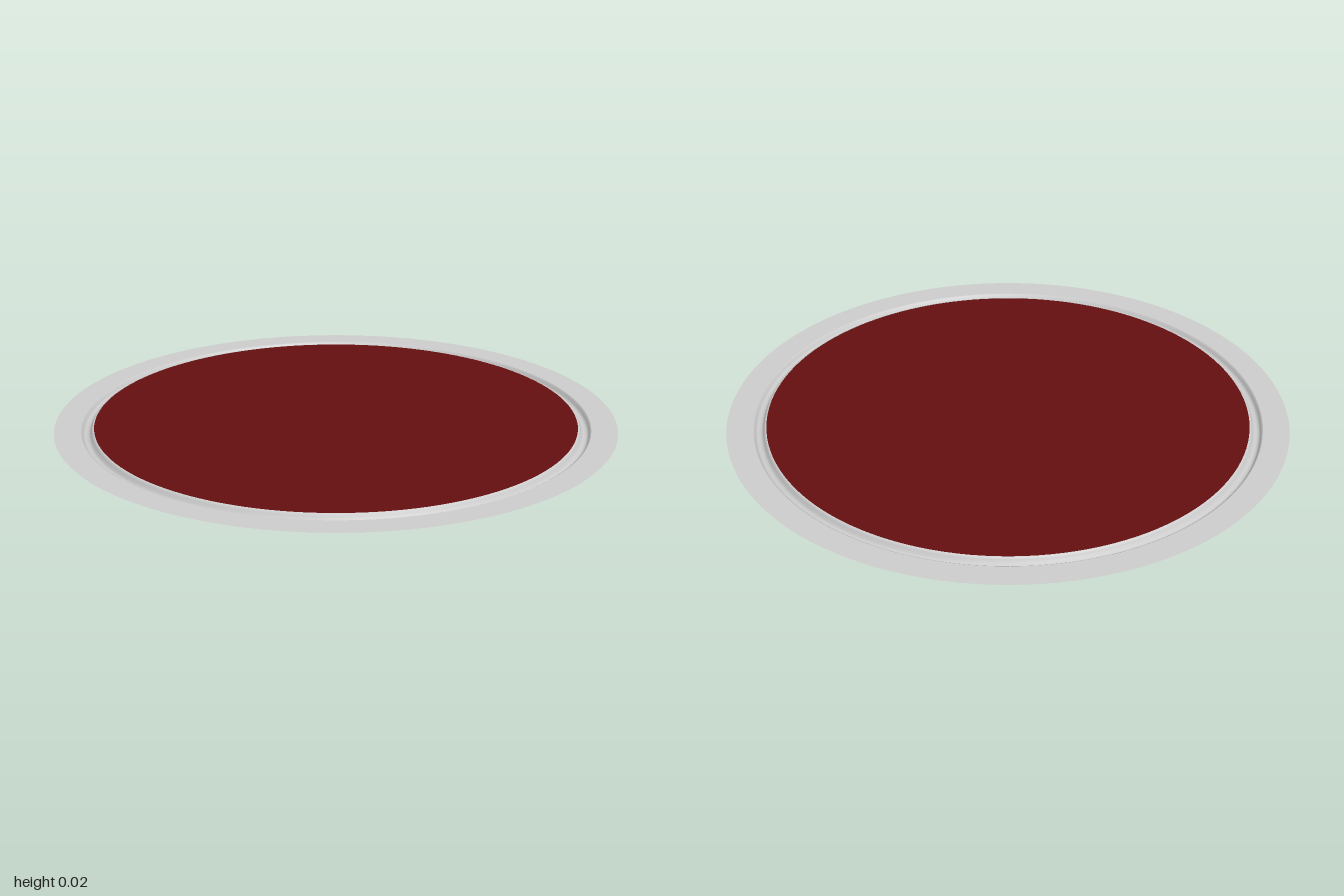
import * as THREE from 'three';

const SEGMENTS = 128;

// Revolves [radius, height] points into a thin sheet
function sheet(name, points, color) {
  const profile = points.map(([r, y]) => new THREE.Vector2(r, y));
  const mesh = new THREE.Mesh(
    new THREE.LatheGeometry(profile, SEGMENTS),
    new THREE.MeshStandardMaterial({ color, side: THREE.DoubleSide })
  );
  mesh.name = name;
  return mesh;
}

export function createModel() {
  const group = new THREE.Group();
  group.name = 'roundPanel';

  const flangeY = 0.019, discY = 0.023;
  const discRadius = 0.86, grooveRadius = 0.907;

  // Flat outer flange, listed from the rim inwards so that it faces up
  group.add(sheet('flange', [[1, flangeY], [grooveRadius, flangeY]], 0xcccccc));

  // Rounded groove between the flange and the raised disc
  group.add(sheet('groove', [
    [grooveRadius, flangeY], [0.902, 0.016], [0.899, 0.007], [0.894, 0.001],
    [0.887, 0], [0.879, 0.001], [0.873, 0.006], [0.869, 0.016],
    [0.865, 0.022], [discRadius, discY],
  ], 0xcccccc));

  // Flat coloured centre
  const disc = new THREE.Mesh(
    new THREE.CircleGeometry(discRadius, SEGMENTS).rotateX(-Math.PI / 2),
    new THREE.MeshStandardMaterial({ color: 0x640f0f, side: THREE.DoubleSide })
  );
  disc.name = 'centreDisc';
  disc.position.y = discY;
  group.add(disc);

  return group;
}
